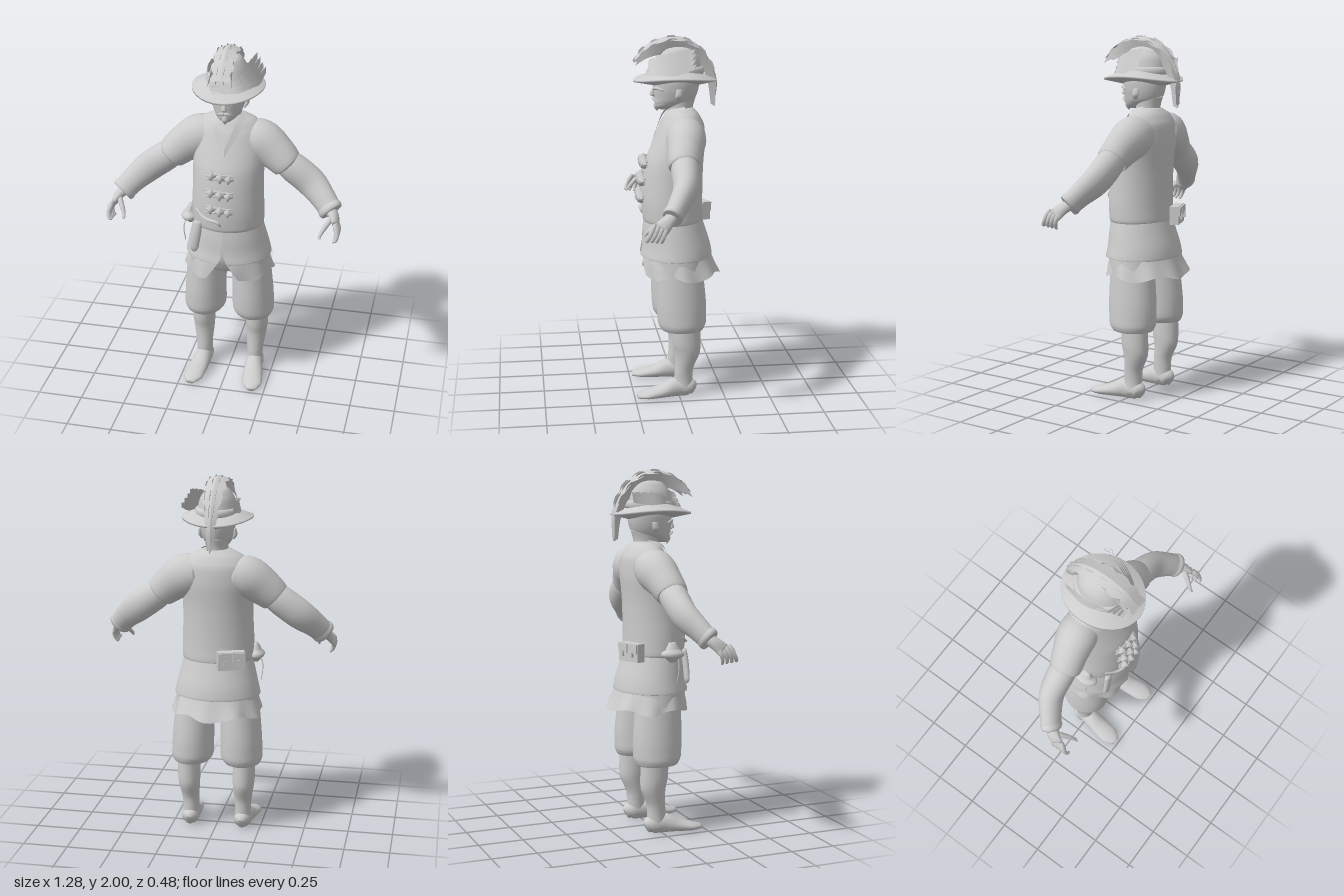
import * as THREE from 'three';

const V = (x, y, z) => new THREE.Vector3(x, y, z);
const Y = V(0, 1, 0), Z = V(0, 0, 1);
const grey = new THREE.MeshStandardMaterial({ color: 0xcccccc, side: THREE.DoubleSide });
grey.name = 'plain grey';

function build(name, pos, idx) {
  const g = new THREE.BufferGeometry();
  g.setAttribute('position', new THREE.Float32BufferAttribute(pos, 3));
  g.setIndex(idx);
  g.computeVertexNormals();
  const m = new THREE.Mesh(g, grey);
  m.name = name;
  return m;
}

// Rounded body through rings [x, y, z, radiusA, radiusB]; gap(u) leaves an opening at angle 0.
function sweep(name, rings, { n = 20, steps = 4, ref = Z, dir = null, gap = null, wave = null } = {}) {
  const path = new THREE.CatmullRomCurve3(rings.map(r => V(r[0], r[1], r[2])));
  const radii = new THREE.CatmullRomCurve3(rings.map(r => V(r[3], r[4], 0)));
  const rows = (rings.length - 1) * steps, cols = gap ? n + 1 : n;
  const pos = [], idx = [];
  for (let i = 0; i <= rows; i++) {
    const u = i / rows, c = path.getPoint(u), r = radii.getPoint(u);
    const t = dir || path.getTangent(u);
    const side = V().crossVectors(t, ref).normalize();
    const up = V().crossVectors(side, t).normalize();
    const g = gap ? gap(u) : 0;
    for (let j = 0; j < cols; j++) {
      const a = g + (2 * Math.PI - 2 * g) * j / n;
      const [k, dy] = wave ? wave(a, u) : [1, 0];
      const p = c.clone().addScaledVector(side, r.x * k * Math.sin(a)).addScaledVector(up, r.y * k * Math.cos(a));
      pos.push(p.x, Math.max(0, p.y + dy), p.z);
    }
  }
  for (let i = 0; i < rows; i++) for (let j = 0; j < n; j++) {
    const a = i * cols + j, b = i * cols + (j + 1) % cols;
    idx.push(a, b, a + cols, b, b + cols, a + cols);
  }
  if (!gap) [0, rows].forEach((row, e) => {
    const c = path.getPoint(e), k = pos.length / 3;
    pos.push(c.x, Math.max(0, c.y), c.z);
    for (let j = 0; j < n; j++) {
      const a = row * cols + j, b = row * cols + (j + 1) % n;
      e ? idx.push(a, b, k) : idx.push(b, a, k);
    }
  });
  return build(name, pos, idx);
}

// Thin vane between two curves, with a ragged first edge.
function vane(name, edgeA, edgeB, jag = 0.12, n = 24) {
  const A = new THREE.CatmullRomCurve3(edgeA.map(p => V(...p)));
  const B = new THREE.CatmullRomCurve3(edgeB.map(p => V(...p)));
  const pos = [], idx = [];
  for (let i = 0; i <= n; i++) {
    const b = B.getPoint(i / n), a = A.getPoint(i / n).lerp(b, i % 3 === 2 ? jag : 0);
    pos.push(...a.toArray(), ...b.toArray());
    if (i < n) idx.push(2 * i, 2 * i + 1, 2 * i + 2, 2 * i + 1, 2 * i + 3, 2 * i + 2);
  }
  return build(name, pos, idx);
}

export function createModel() {
  const model = new THREE.Group();
  const add = (...m) => model.add(...m);
  const up = { dir: Y, n: 32 };

  // Jacket, flared lower jacket split at the front, shirt hem below it
  add(sweep('jacket', [
    [0, 0.97, 0.018, 0.185, 0.155], [0, 1.0, 0.018, 0.2, 0.167], [0, 1.08, 0.022, 0.2, 0.168],
    [0, 1.2, 0.018, 0.195, 0.165], [0, 1.32, 0.006, 0.195, 0.158], [0, 1.42, -0.018, 0.2, 0.142],
    [0, 1.52, -0.035, 0.187, 0.118], [0, 1.575, -0.035, 0.145, 0.088], [0, 1.608, -0.03, 0.07, 0.062]], up));
  add(sweep('jacketSkirt', [
    [0, 0.785, 0, 0.222, 0.18], [0, 0.79, 0, 0.24, 0.2], [0, 0.85, 0, 0.227, 0.19],
    [0, 0.93, 0.01, 0.208, 0.175], [0, 1.02, 0.018, 0.185, 0.155]],
    { ...up, gap: u => 0.005 + 0.17 * Math.max(0, 1 - u * 1.5) }));
  add(sweep('shirtHem', [
    [0, 0.69, -0.024, 0.25, 0.216], [0, 0.76, -0.01, 0.23, 0.196], [0, 0.84, 0, 0.205, 0.175]],
    { ...up, n: 48, gap: u => 0.04 + 0.33 * Math.max(0, 1 - u * 1.2),
      wave: (a, u) => [1 + 0.04 * (1 - u) * Math.sin(9 * a), 0.014 * (1 - u) * Math.cos(5 * a)] }));
  add(sweep('hips', [[0, 0.7, -0.005, 0.16, 0.11], [0, 0.8, 0, 0.2, 0.15], [0, 0.95, 0.01, 0.17, 0.14]], up));

  for (const s of [1, -1]) {
    const w = s > 0 ? 'left' : 'right';
    // Breeches gathered under the knee, then boots
    add(sweep(w + 'Breeches', [
      [s * 0.15, 0.385, -0.025, 0.07, 0.085], [s * 0.145, 0.39, -0.02, 0.1, 0.115],
      [s * 0.14, 0.43, -0.017, 0.118, 0.134], [s * 0.137, 0.53, -0.014, 0.116, 0.138],
      [s * 0.128, 0.7, -0.007, 0.11, 0.131], [s * 0.12, 0.82, 0, 0.105, 0.135]], up));
    add(sweep(w + 'Boot', [
      [s * 0.152, 0.03, -0.028, 0.048, 0.05], [s * 0.15, 0.1, -0.025, 0.045, 0.052],
      [s * 0.151, 0.16, -0.028, 0.048, 0.052], [s * 0.155, 0.25, -0.046, 0.059, 0.07],
      [s * 0.157, 0.31, -0.042, 0.063, 0.078], [s * 0.158, 0.41, -0.038, 0.062, 0.08]], { ...up, n: 20 }));
    add(sweep(w + 'Foot', [
      [s * 0.15, 0.03, -0.085, 0.02, 0.03], [s * 0.15, 0.045, -0.06, 0.045, 0.05],
      [s * 0.153, 0.05, 0.02, 0.05, 0.055], [s * 0.163, 0.033, 0.1, 0.055, 0.036],
      [s * 0.174, 0.022, 0.18, 0.055, 0.024], [s * 0.18, 0.015, 0.235, 0.025, 0.013]], { ref: Y }));

    // Short outer sleeve over a long sleeve with a turned cuff
    add(sweep(w + 'ShortSleeve', [
      [s * 0.09, 1.47, -0.04, 0.1, 0.1], [s * 0.17, 1.455, -0.035, 0.117, 0.108],
      [s * 0.25, 1.405, -0.02, 0.104, 0.095], [s * 0.32, 1.345, -0.004, 0.086, 0.084],
      [s * 0.322, 1.343, -0.004, 0.07, 0.07]]));
    add(sweep(w + 'LongSleeve', [
      [s * 0.28, 1.375, -0.01, 0.07, 0.065], [s * 0.36, 1.32, -0.006, 0.083, 0.074],
      [s * 0.455, 1.25, 0.005, 0.083, 0.066], [s * 0.53, 1.185, 0.05, 0.07, 0.056],
      [s * 0.575, 1.137, 0.085, 0.062, 0.05], [s * 0.579, 1.133, 0.089, 0.045, 0.035]]));
    add(sweep(w + 'Cuff', [
      [s * 0.553, 1.16, 0.067, 0.062, 0.05], [s * 0.573, 1.14, 0.084, 0.07, 0.056],
      [s * 0.583, 1.13, 0.092, 0.064, 0.05]]));

    // Hand with curled fingers
    add(sweep(w + 'Palm', [
      [s * 0.57, 1.14, 0.08, 0.032, 0.034], [s * 0.598, 1.115, 0.115, 0.026, 0.036],
      [s * 0.616, 1.082, 0.15, 0.016, 0.042]], { n: 12 }));
    for (let i = 0; i < 4; i++) add(sweep(w + 'Finger' + (i + 1), [
      [s * 0.613, 1.088 + 0.006 * i, 0.122 + 0.02 * i, 0.012, 0.012],
      [s * 0.63, 1.055, 0.136 + 0.024 * i, 0.012, 0.012],
      [s * 0.623, 1.025, 0.145 + 0.026 * i, 0.01, 0.01],
      [s * 0.608, 1.008 + 0.004 * i, 0.148 + 0.026 * i, 0.006, 0.006]], { n: 8, steps: 2 }));
    add(sweep(w + 'Thumb', [
      [s * 0.59, 1.115, 0.13, 0.016, 0.016], [s * 0.56, 1.08, 0.18, 0.014, 0.014],
      [s * 0.54, 1.045, 0.215, 0.009, 0.009], [s * 0.54, 1.03, 0.228, 0.005, 0.005]], { n: 8, steps: 2 }));

    // Collar edge, ear, brow, moustache
    add(vane(w + 'Collar', [[s * 0.085, 1.608, -0.04], [s * 0.09, 1.572, 0.045], [0, 1.405, 0.136]],
      [[s * 0.065, 1.618, -0.04], [s * 0.055, 1.59, 0.05], [0, 1.45, 0.122]], 0));
    add(sweep(w + 'Ear', [[s * 0.086, 1.655, 0.0, 0.006, 0.01], [s * 0.097, 1.68, -0.005, 0.011, 0.02],
      [s * 0.096, 1.715, -0.01, 0.006, 0.016]], { n: 10, dir: Y }));
    add(sweep(w + 'Brow', [[s * 0.015, 1.712, 0.12, 0.008, 0.008], [s * 0.045, 1.718, 0.11, 0.009, 0.009],
      [s * 0.075, 1.708, 0.075, 0.005, 0.005]], { n: 8, ref: Y }));
    add(sweep(w + 'Moustache', [[0, 1.658, 0.125, 0.007, 0.007], [s * 0.022, 1.654, 0.12, 0.008, 0.007],
      [s * 0.045, 1.638, 0.098, 0.003, 0.003]], { n: 8, ref: Y }));
  }

  // Neck, head, nose, goatee
  add(sweep('neck', [[0, 1.52, -0.03, 0.07, 0.07], [0, 1.6, -0.025, 0.062, 0.068], [0, 1.68, -0.03, 0.068, 0.085]], up));
  add(sweep('head', [
    [0, 1.6, 0.07, 0.025, 0.03], [0, 1.618, 0.05, 0.052, 0.062], [0, 1.65, 0.01, 0.077, 0.108],
    [0, 1.7, 0, 0.091, 0.122], [0, 1.75, -0.004, 0.096, 0.126], [0, 1.82, -0.01, 0.08, 0.11]], up));
  add(sweep('nose', [[0, 1.72, 0.115, 0.01, 0.01], [0, 1.695, 0.126, 0.013, 0.014],
    [0, 1.678, 0.128, 0.017, 0.014], [0, 1.668, 0.118, 0.008, 0.008]], { n: 10, dir: V(0, -1, 0) }));
  add(sweep('goatee', [[0, 1.64, 0.108, 0.012, 0.009], [0, 1.615, 0.108, 0.017, 0.013],
    [0, 1.59, 0.1, 0.004, 0.004]], { n: 8, dir: V(0, -1, 0) }));

  // Wide hat: brim raised at the sides, and crown with a band
  const lift = a => 0.025 * Math.sin(a) ** 2;
  add(sweep('hatBrim', [
    [0, 1.728, -0.005, 0.09, 0.12], [0, 1.75, 0.005, 0.194, 0.225], [0, 1.76, 0.005, 0.194, 0.225],
    [0, 1.79, 0, 0.115, 0.145], [0, 1.8, 0, 0.1, 0.125]], { ...up, steps: 1, wave: a => [1, lift(a)] }));
  add(sweep('hatCrown', [
    [0, 1.775, -0.005, 0.112, 0.14], [0, 1.82, -0.005, 0.108, 0.135], [0, 1.88, -0.01, 0.092, 0.118],
    [0, 1.925, -0.01, 0.062, 0.085], [0, 1.945, -0.01, 0.02, 0.03]], up));
  add(sweep('hatBand', [
    [0, 1.785, -0.005, 0.11, 0.138], [0, 1.8, -0.005, 0.122, 0.15], [0, 1.825, -0.005, 0.118, 0.146],
    [0, 1.835, -0.005, 0.1, 0.12]], { ...up, steps: 2 }));

  // Tall crest of upright feathers arching front to back
  [-0.055, -0.02, 0.015, 0.05].forEach((x, i) => {
    const d = 0.012 * Math.abs(i - 1.5) - 0.006;
    add(vane('crestFeather' + (i + 1),
      [[x * 1.2, 1.86 - d, 0.232 - d], [x, 1.925 - d, 0.19], [x, 1.975 - d, 0.11], [x, 1.996 - d, 0], [x, 1.962 - d, -0.1],
        [x * 0.8, 1.88, -0.185 + d], [x * 0.5, 1.76, -0.222 + d], [x * 0.4, 1.61 + 2 * d, -0.215]],
      [[x * 1.2, 1.855 - d, 0.225], [x, 1.88, 0.16], [x * 0.8, 1.895, 0.1], [x * 0.5, 1.9, 0], [x * 0.5, 1.88, -0.08],
        [x * 0.5, 1.83, -0.14], [x * 0.4, 1.74, -0.178], [x * 0.3, 1.62, -0.195]], 0.2));
  });
  for (const s of [1, -1]) add(vane('crestTop',
    [[s * 0.05, 1.87, 0.225], [s * 0.062, 1.945, 0.14], [s * 0.062, 1.972, 0], [s * 0.055, 1.915, -0.13], [s * 0.03, 1.77, -0.21], [s * 0.02, 1.64, -0.215]],
    [[0, 1.88, 0.222], [0, 1.96, 0.14], [0, 1.993, 0], [0, 1.935, -0.13], [0, 1.77, -0.222], [0, 1.62, -0.215]], 0.25));

  // Overlapping plumes swept back around the hat's left, one smaller on the right
  for (let i = 0; i < 4; i++) {
    const y = 0.025 * i, x = -0.016 * i;
    add(vane('sidePlume' + (i + 1),
      [[-0.06 + x, 1.785 + y, 0.165 - 0.02 * i], [0.07 + x, 1.8 + y, 0.14], [0.15 + x, 1.84 + y, 0.03], [0.18 + x, 1.86 + y, -0.09]],
      [[-0.05 + x, 1.765 + y, 0.175 - 0.02 * i], [0.09 + x, 1.77 + y, 0.15], [0.165 + x, 1.795 + y, 0.03], [0.185 + x, 1.83 + y, -0.07]], 0.1));
  }
  add(vane('rightPlume', [[-0.085, 1.83, 0.1], [-0.115, 1.87, 0], [-0.11, 1.88, -0.15]],
    [[-0.09, 1.79, 0.1], [-0.13, 1.8, 0], [-0.11, 1.82, -0.14]]));

  // Jacket fastenings: paired knots and cords
  [[1.31, 0.168], [1.215, 0.182], [1.12, 0.188]].forEach(([y, z], i) => {
    const row = new THREE.Group();
    row.name = 'fastening' + (i + 1);
    const knot = (x, dy, r) => sweep('knot', [[x - 0.024, y + dy, z, r / 2, r / 2], [x - 0.01, y + dy, z + 0.006, r, r],
      [x + 0.01, y + dy, z + 0.006, r, r], [x + 0.024, y + dy, z, r / 2, r / 2]], { n: 8, steps: 2, ref: Y });
    row.add(knot(-0.06, 0.006, 0.014), knot(-0.01, -0.004, 0.016), knot(0.035, -0.008, 0.013));
    for (const dy of [0.012, -0.014]) row.add(sweep('cord', [[-0.092, y + dy * 1.6, z - 0.012, 0.005, 0.005],
      [-0.02, y + dy, z + 0.004, 0.006, 0.006], [0.06, y + dy - 0.004, z - 0.004, 0.005, 0.005]], { n: 6, ref: Y }));
    add(row);
  });
  add(sweep('sash', [[-0.15, 1.085, 0.125, 0.012, 0.008], [-0.09, 1.055, 0.17, 0.016, 0.008],
    [-0.02, 1.045, 0.19, 0.014, 0.008], [-0.01, 1.02, 0.186, 0.006, 0.006]], { n: 8, ref: Y }));

  // Belt gear: sheath in front, round pouch on the right hip, twin box at the back
  add(sweep('sheath', [[-0.165, 0.835, 0.15, 0.012, 0.008], [-0.165, 0.86, 0.15, 0.026, 0.014],
    [-0.15, 0.95, 0.148, 0.026, 0.016], [-0.14, 1.02, 0.142, 0.022, 0.014]], { n: 12, dir: Y }));
  add(sweep('hipPouch', [[-0.208, 0.962, 0.045, 0.012, 0.015], [-0.21, 0.985, 0.045, 0.028, 0.04],
    [-0.21, 1.03, 0.045, 0.028, 0.04], [-0.205, 1.07, 0.045, 0.014, 0.02]], { n: 14, dir: Y }));
  add(sweep('hipCord', [[-0.21, 1.02, 0.07, 0.003, 0.003], [-0.242, 0.94, 0.07, 0.003, 0.003],
    [-0.235, 0.85, 0.06, 0.003, 0.003]], { n: 6 }));
  const gear = new THREE.Group();
  gear.name = 'backPouch';
  const box = (name, w, h, d, x, y, z) => {
    const m = new THREE.Mesh(new THREE.BoxGeometry(w, h, d), grey);
    m.name = name;
    m.position.set(x, y, z);
    gear.add(m);
  };
  box('pouchBody', 0.15, 0.1, 0.05, 0, 0, 0);
  for (const s of [1, -1]) {
    box('pouchFlap', 0.068, 0.05, 0.012, s * 0.037, 0.022, -0.028);
    box('pouchStud', 0.014, 0.03, 0.012, s * 0.037, -0.008, -0.033);
  }
  gear.position.set(-0.1, 1.015, -0.15);
  gear.rotation.y = 0.35;
  add(gear);

  return model;
}
